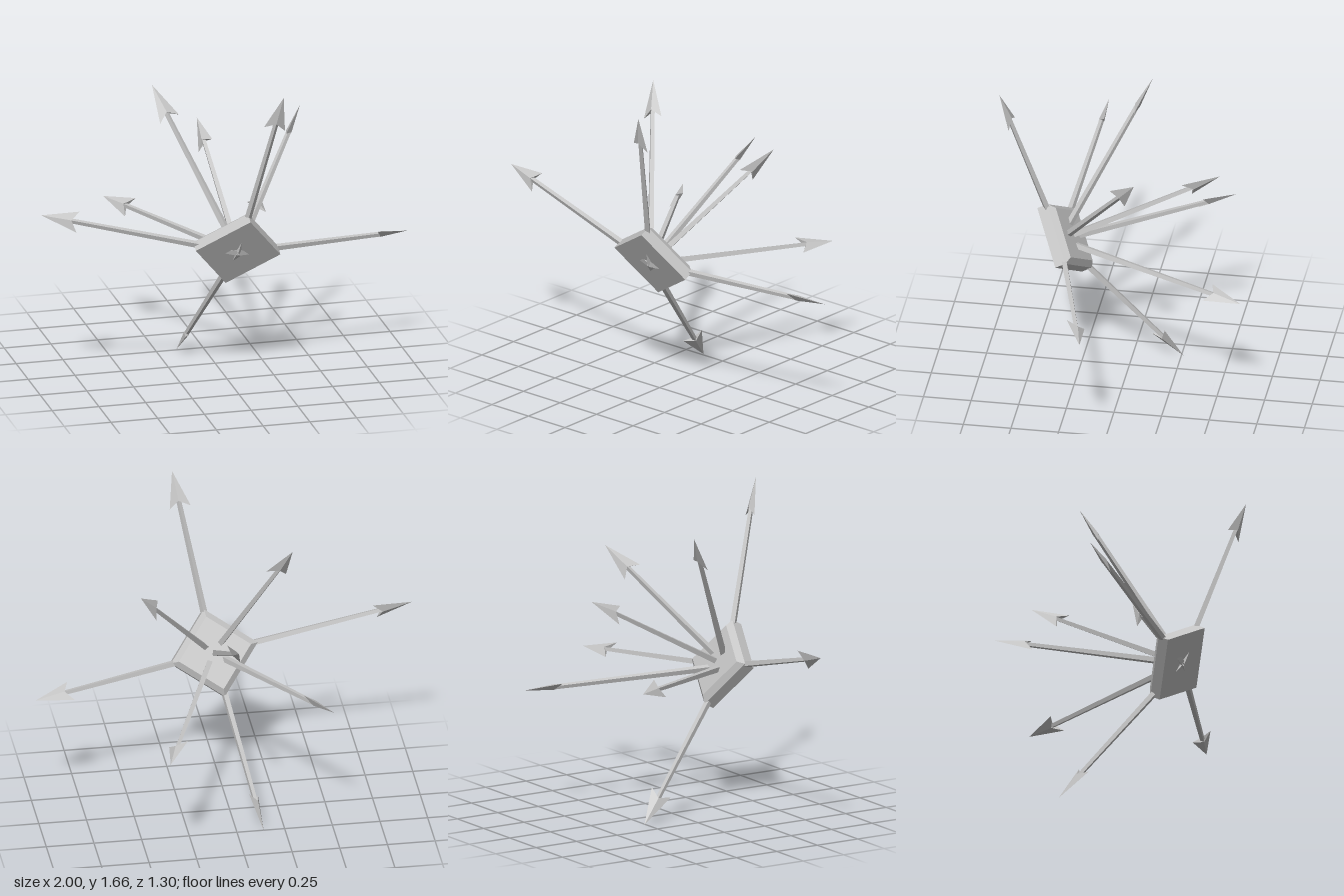
import * as THREE from 'three';

const grey = new THREE.MeshStandardMaterial({ color: 0xc4c4c4, flatShading: true });
grey.name = 'grey';

const V = (x, y, z) => new THREE.Vector3(x, y, z);

// Rotation whose y axis is dir and whose x axis is as near as possible to wide
function frame(dir, wide) {
  const y = dir.clone().normalize();
  const x = wide.clone().addScaledVector(y, -wide.dot(y)).normalize();
  const z = x.clone().cross(y);
  return new THREE.Quaternion().setFromRotationMatrix(new THREE.Matrix4().makeBasis(x, y, z));
}

// Thin barbed head with its tip at the origin: a four-sided cone, notched at the back
function headGeometry(length, notch) {
  const geo = new THREE.ConeGeometry(1, length, 4);
  geo.translate(0, -length / 2, 0);
  const pos = geo.attributes.position;
  for (let i = 0; i < pos.count; i++) {
    if (pos.getY(i) < -length / 2) pos.setY(i, -length + notch * (1 - Math.abs(pos.getX(i))));
  }
  geo.scale(0.056, 1, 0.015);
  return geo;
}

// Arrow with a tapered square shaft
function arrow(name, start, tip, wide) {
  const group = new THREE.Group();
  group.name = name;
  const length = tip.distanceTo(start);
  const headLength = 0.2;
  const notch = 0.04;
  const shaftLength = length - headLength + notch;

  const shaftGeo = new THREE.CylinderGeometry(0.013, 0.02, shaftLength, 4);
  shaftGeo.translate(0, shaftLength / 2, 0);
  const shaft = new THREE.Mesh(shaftGeo, grey);
  shaft.name = 'shaft';

  const head = new THREE.Mesh(headGeometry(headLength, notch), grey);
  head.name = 'arrowHead';
  head.position.y = length;

  group.add(shaft, head);
  group.position.copy(start);
  group.quaternion.copy(frame(tip.clone().sub(start), wide));
  return group;
}

export function createModel() {
  const model = new THREE.Group();
  model.name = 'arrowBurst';

  const centre = V(0.03, 0.735, 0.362); // middle of the plate's front face
  const back = V(0.016, 0.48, -0.878).normalize();

  // Tilted square plate with a bevelled back
  const profile = [[0, 0], [0.233, 0], [0.233, 0.06], [0.193, 0.088], [0, 0.088]]
    .map(([r, h]) => new THREE.Vector2(r, h));
  const plate = new THREE.Mesh(new THREE.LatheGeometry(profile, 4), grey);
  plate.name = 'plate';
  plate.position.copy(centre);
  plate.quaternion.copy(frame(back, V(0.46, -0.07, -0.03)));
  model.add(plate);

  // Arrows: tip, broad direction of the head.
  // The low shafts break through the front face as a small cross.
  const start = centre.clone().addScaledVector(back, 0.004);
  const arrows = [
    ['centreArrow', V(0.025, 1.19, -0.48), V(0.55, 0.73, 0.4)],
    // four low arrows over the plate corners
    ['rightArrow', V(-1, 1, 0.27), V(0, 0.9, -0.44)],
    ['topArrow', V(0.2, 1.67, 0.65), V(0.98, 0, 0.2)],
    ['leftArrow', V(1, 0.68, 0.1), V(0, 0.55, 0.84)],
    ['bottomArrow', V(-0.14, 0.005, -0.26), V(-0.35, 0, 0.94)],
    // four steep arrows over the plate edges
    ['upperRightArrow', V(-0.32, 1.54, -0.07), V(1, 0, 0)],
    ['upperLeftArrow', V(0.48, 1.35, -0.1), V(-0.2, 0.6, 0.75)],
    ['lowerLeftArrow', V(0.41, 0.66, -0.65), V(0.83, -0.45, 0.34)],
    ['lowerRightArrow', V(-0.475, 0.8, -0.485), V(0.55, 0.75, -0.34)],
  ];
  for (const [name, tip, wide] of arrows) model.add(arrow(name, start, tip, wide));

  return model;
}
